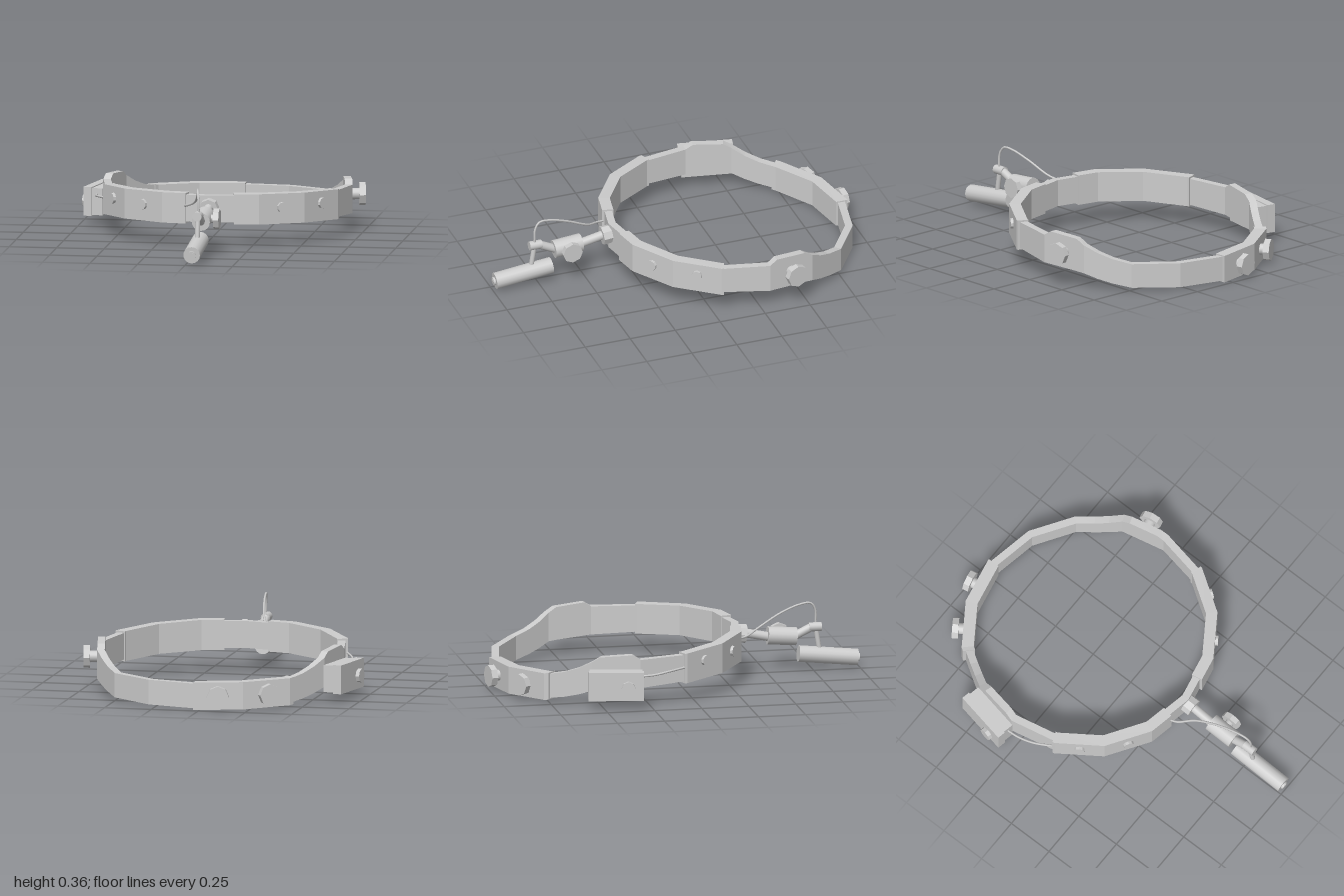
import * as THREE from 'three';

const CX = 0.034, CZ = -0.3, STEP = 22.5;
const grey = new THREE.MeshStandardMaterial({ color: 0xcccccc });
const flat = new THREE.MeshStandardMaterial({ color: 0xcccccc, flatShading: true });
const V = (x, y, z) => new THREE.Vector3(x, y, z);

// Angle from the front in degrees, top edge, bottom edge (same on both sides)
const EDGE = [
  [0, 0.272, 0.13], [22.5, 0.27, 0.128], [45, 0.262, 0.122], [67.5, 0.25, 0.11],
  [90, 0.245, 0.095], [93.5, 0.27, 0.093], [108.5, 0.259, 0.084], [112.5, 0.232, 0.08],
  [119, 0.195, 0.055], [126, 0.168, 0.036], [135, 0.148, 0.02], [157.5, 0.142, 0.012], [180, 0.138, 0.008],
];

function edgeAt(deg) {
  const a = Math.abs(deg);
  const i = Math.max(1, EDGE.findIndex(e => e[0] >= a - 1e-6));
  const p = EDGE[i - 1], q = EDGE[i], t = (a - p[0]) / (q[0] - p[0]);
  return [p[1] + (q[1] - p[1]) * t, p[2] + (q[2] - p[2]) * t];
}

// Part of the sixteen-sided band between two angles
function bandSection(name, from, to, rIn, rOut, grow) {
  const stops = [from, to];
  for (const [a] of EDGE) for (const s of [a, -a]) {
    if (s > from && s < to && !stops.includes(s)) stops.push(s);
  }
  stops.sort((a, b) => a - b);
  const pos = [], index = [];
  for (const deg of stops) {
    const off = deg - (Math.floor(deg / STEP) + 0.5) * STEP;
    const k = Math.cos(Math.PI / 16) / Math.cos(off * Math.PI / 180);
    const s = Math.sin(deg * Math.PI / 180) * k, c = Math.cos(deg * Math.PI / 180) * k;
    const [top, bottom] = edgeAt(deg);
    for (const [r, y] of [[rOut, top + grow], [rOut, bottom - grow], [rIn, bottom - grow], [rIn, top + grow]]) {
      pos.push(CX + r * s, y, CZ + r * c);
    }
  }
  const quad = (a, b, c, d) => index.push(a, b, c, a, c, d);
  for (let i = 0; i < stops.length - 1; i++) {
    for (let k = 0; k < 4; k++) {
      const n = (k + 1) % 4;
      quad(i * 4 + k, i * 4 + n, i * 4 + 4 + n, i * 4 + 4 + k);
    }
  }
  const e = (stops.length - 1) * 4;
  quad(0, 3, 2, 1);
  quad(e, e + 1, e + 2, e + 3);
  let geo = new THREE.BufferGeometry();
  geo.setAttribute('position', new THREE.Float32BufferAttribute(pos, 3));
  geo.setIndex(index);
  geo = geo.toNonIndexed();
  geo.computeVertexNormals();
  return named(new THREE.Mesh(geo, flat), name);
}

function named(obj, name) {
  obj.name = name;
  return obj;
}

// Cylinder between two points
function rod(name, a, b, r, sides = 16, material = grey) {
  const dir = b.clone().sub(a);
  const m = new THREE.Mesh(new THREE.CylinderGeometry(r, r, dir.length(), sides), material);
  m.position.copy(a).add(b).multiplyScalar(0.5);
  m.quaternion.setFromUnitVectors(V(0, 1, 0), dir.normalize());
  return named(m, name);
}

// Group on the band whose local +z points outward
function radial(name, deg, y, ...parts) {
  const g = named(new THREE.Group(), name);
  g.position.set(CX, y, CZ);
  g.rotation.y = deg * Math.PI / 180;
  g.add(...parts);
  return g;
}

function knob(name, deg, y, r) {
  return radial(name, deg, y,
    rod('knobStem', V(0, 0, 0.63), V(0, 0, 0.69), r * 0.5),
    rod('knobCap', V(0, 0, 0.685), V(0, 0, 0.718), r, 8, flat));
}

function cable(name, points) {
  const curve = new THREE.CatmullRomCurve3(points);
  return named(new THREE.Mesh(new THREE.TubeGeometry(curve, 32, 0.006, 6), grey), name);
}

function box(name, w, h, d, x, y, z) {
  const m = new THREE.Mesh(new THREE.BoxGeometry(w, h, d), flat);
  m.position.set(x, y, z);
  return named(m, name);
}

export function createModel() {
  const model = named(new THREE.Group(), 'headbandLamp');

  // Headband and its thicker overlapping plates
  model.add(
    bandSection('headband', -180, 180, 0.617, 0.657, 0),
    bandSection('frontLeftPlate', 11.25, 68.5, 0.61, 0.67, 0.009),
    bandSection('frontRightPlate', -68.5, -11.25, 0.61, 0.67, 0.009),
    bandSection('backPlate', -180, -133, 0.608, 0.672, 0.007));

  // Rivets on the front plates
  for (const side of [1, -1]) for (const a of [33.75, 56.25]) {
    model.add(radial('rivet', side * a, 0.203,
      rod('rivetHead', V(0, 0, 0.63), V(0, 0, 0.672), 0.028, 10, flat)));
  }

  // Adjusting knobs
  model.add(
    knob('sideKnob', 101.25, 0.178, 0.06),
    knob('backKnob', -146.25, 0.082, 0.058),
    knob('backKnob', -168.75, 0.076, 0.058));

  // Battery case with its switch and lead
  model.add(radial('batteryCase', -101.25, 0.125,
    box('caseBase', 0.275, 0.142, 0.06, 0, 0, 0.675),
    box('caseCover', 0.29, 0.152, 0.045, 0, 0, 0.725),
    rod('switchStem', V(0.065, -0.005, 0.74), V(0.065, -0.005, 0.757), 0.022),
    rod('switchCap', V(0.065, -0.005, 0.752), V(0.065, -0.005, 0.772), 0.036, 8, flat)));
  model.add(cable('batteryLead', [
    V(-0.655, 0.165, -0.3), V(-0.65, 0.168, -0.23), V(-0.63, 0.178, -0.15), V(-0.585, 0.185, -0.06)]));

  // Jointed arm at the front
  const arm = named(new THREE.Group(), 'arm');
  arm.add(
    rod('armMount', V(CX, 0.213, 0.33), V(CX, 0.207, 0.395), 0.05, 8, flat),
    rod('armRod', V(CX, 0.215, 0.37), V(CX, 0.18, 0.54), 0.024),
    rod('clamp', V(CX, 0.192, 0.51), V(CX, 0.18, 0.662), 0.048),
    rod('clampScrew', V(CX, 0.186, 0.585), V(0.1, 0.186, 0.585), 0.022),
    rod('clampKnob', V(0.093, 0.186, 0.585), V(0.122, 0.186, 0.585), 0.054, 8, flat),
    rod('upperRod', V(CX, 0.18, 0.65), V(CX, 0.226, 0.745), 0.022),
    rod('joint', V(CX, 0.226, 0.73), V(CX, 0.226, 0.797), 0.024),
    rod('lampHanger', V(CX, 0.22, 0.768), V(CX, 0.1, 0.787), 0.013));
  model.add(arm);

  // Lamp tube, tilted slightly down
  const back = V(CX, 0.087, 0.675), front = V(CX, 0.054, 0.988);
  const along = t => back.clone().lerp(front, t);
  const lamp = named(new THREE.Group(), 'lamp');
  lamp.add(rod('lampTube', back, front, 0.044), rod('lensHousing', along(0.95), along(1.035), 0.022),
    rod('lens', along(1.0), along(1.04), 0.013));
  model.add(lamp);

  // Lead from the headband to the joint
  model.add(cable('lampLead', [
    V(-0.1, 0.212, 0.325), V(-0.085, 0.22, 0.375), V(-0.03, 0.25, 0.45), V(0.005, 0.315, 0.575), V(0.022, 0.352, 0.68),
    V(0.03, 0.355, 0.74), V(0.036, 0.32, 0.765), V(0.04, 0.235, 0.768)]));

  return model;
}
